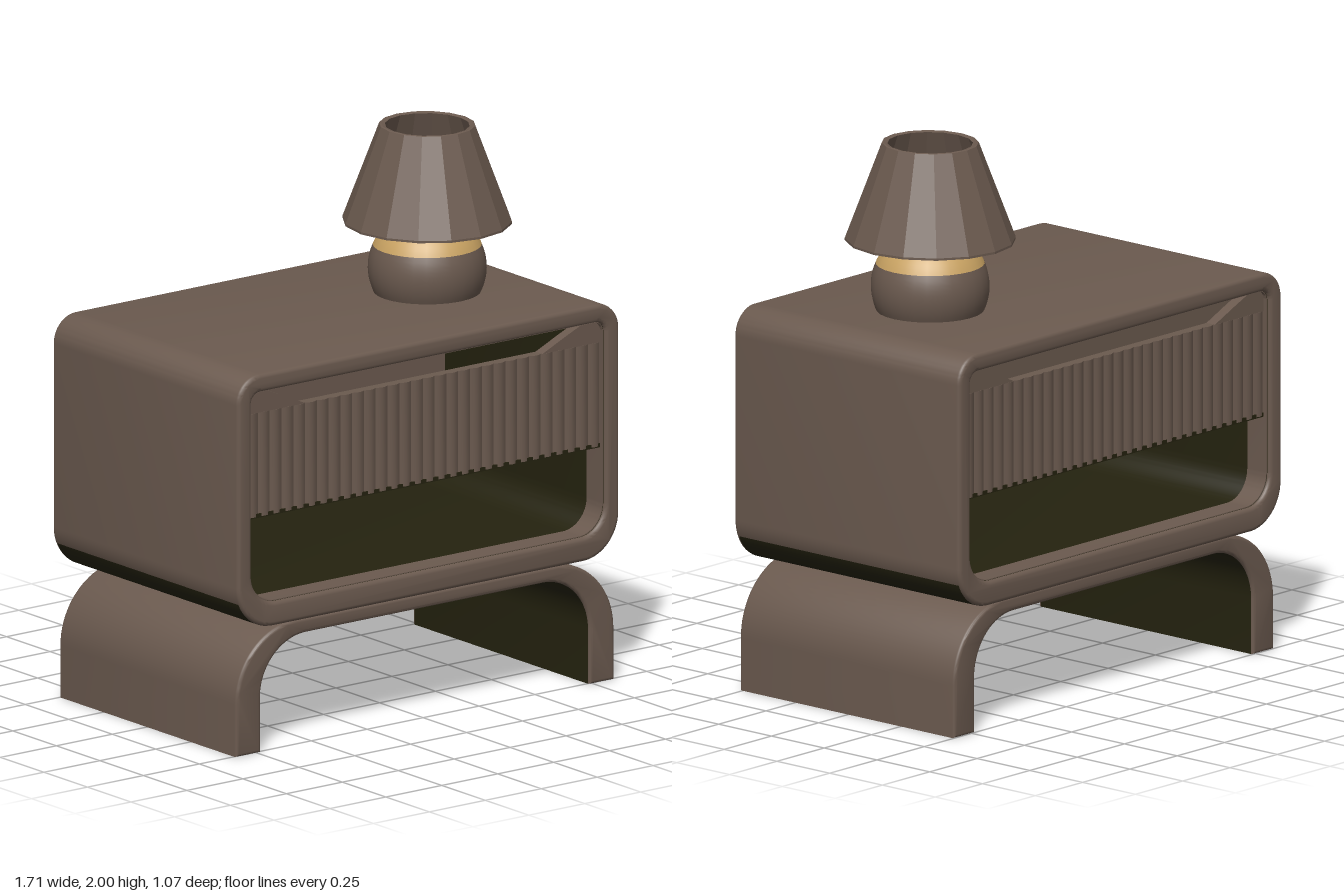
import * as THREE from 'three';
import { toCreasedNormals } from 'three/addons/utils/BufferGeometryUtils.js';

const colour = (name, hex, side = THREE.FrontSide) => {
  const m = new THREE.MeshStandardMaterial({ color: hex, side });
  m.name = name;
  return m;
};

// Extrude along z, centred, with softly bevelled rims
function slab(shape, depth, bevel) {
  const g = new THREE.ExtrudeGeometry(shape, {
    depth: depth - 2 * bevel, bevelEnabled: bevel > 0, bevelSize: bevel,
    bevelThickness: bevel, bevelOffset: -bevel, bevelSegments: 3, curveSegments: 10,
  });
  g.translate(0, 0, bevel - depth / 2);
  return toCreasedNormals(g, 0.7);
}

// Give each triangle a material index by a rule on its centre and normal
function splitFaces(geo, rule) {
  geo.clearGroups();
  const p = geo.attributes.position;
  const t = new THREE.Triangle(), c = new THREE.Vector3(), n = new THREE.Vector3();
  let start = 0, last = -1;
  for (let i = 0; i < p.count; i += 3) {
    t.setFromAttributeAndIndices(p, i, i + 1, i + 2);
    t.getMidpoint(c);
    t.getNormal(n);
    const k = rule(c, n) ? 1 : 0;
    if (k !== last && last >= 0) {
      geo.addGroup(start, i - start, last);
      start = i;
    }
    last = k;
  }
  geo.addGroup(start, p.count - start, last);
  return geo;
}

// Rectangle with separate bottom and top corner radii
function roundedRect(path, x, y0, y1, rb, rt) {
  const H = Math.PI / 2;
  path.moveTo(-x + rb, y0);
  path.lineTo(x - rb, y0);
  path.absarc(x - rb, y0 + rb, rb, -H, 0);
  path.lineTo(x, y1 - rt);
  path.absarc(x - rt, y1 - rt, rt, 0, H);
  path.lineTo(-x + rt, y1);
  path.absarc(-x + rt, y1 - rt, rt, H, 2 * H);
  path.lineTo(-x, y0 + rb);
  path.absarc(-x + rb, y0 + rb, rb, 2 * H, 3 * H);
  return path;
}

export function createModel() {
  const brown = colour('brown', 0x6b5a4f);
  const olive = colour('dark olive', 0x24220f);
  const tan = colour('tan', 0xc8a262);
  const model = new THREE.Group();
  const add = (name, geo, mat, parent = model) => {
    const m = new THREE.Mesh(geo, mat);
    m.name = name;
    parent.add(m);
    return m;
  };
  const box = (name, size, pos, mat, parent) =>
    add(name, new THREE.BoxGeometry(...size), mat, parent).position.set(...pos);

  // Cabinet shell: a rounded tube, dark inside and underneath
  const outer = roundedRect(new THREE.Shape(), 0.853, 0.46, 1.39, 0.16, 0.1);
  outer.holes.push(roundedRect(new THREE.Path(), 0.79, 0.548, 1.325, 0.11, 0.04));
  const shellGeo = splitFaces(slab(outer, 1.07, 0.015), (c, n) => {
    if (Math.abs(n.z) > 0.2) return false;
    const inward = n.x * c.x + n.y * (c.y - 0.93) < 0;
    return inward || n.y < -0.35;
  });
  add('cabinetShell', shellGeo, [brown, olive]);
  // Light lip just inside each opening
  for (const s of [-1, 1]) {
    const lip = roundedRect(new THREE.Shape(), 0.791, 0.547, 1.326, 0.11, 0.04);
    lip.holes.push(roundedRect(new THREE.Path(), 0.787, 0.551, 1.322, 0.107, 0.037));
    add('openingLip', slab(lip, 0.09, 0), brown).position.z = s * 0.473;
  }

  // Arched base with two curved legs, dark on its inner surface
  const arch = new THREE.Shape();
  arch.moveTo(0.845, 0);
  arch.lineTo(0.845, 0.19);
  arch.absarc(0.575, 0.19, 0.27, 0, Math.PI / 2);
  arch.lineTo(-0.575, 0.46);
  arch.absarc(-0.575, 0.19, 0.27, Math.PI / 2, Math.PI);
  arch.lineTo(-0.845, 0);
  arch.lineTo(-0.735, 0);
  arch.lineTo(-0.735, 0.2);
  arch.absarc(-0.53, 0.2, 0.205, Math.PI, Math.PI / 2, true);
  arch.lineTo(0.53, 0.405);
  arch.absarc(0.53, 0.2, 0.205, Math.PI / 2, 0, true);
  arch.lineTo(0.735, 0);
  const archGeo = splitFaces(slab(arch, 1.02, 0.012), (c, n) =>
    Math.abs(n.z) < 0.2 && c.y > 0.02 && (n.x * c.x < -0.01 || n.y < -0.3));
  add('archedBase', archGeo, [brown, olive]).position.z = 0.005;

  // Drawer: fluted panels front and back with a finger cutout along the top
  const drawer = new THREE.Group();
  drawer.name = 'drawer';
  model.add(drawer);
  const flutes = 30, half = 0.79;
  const plan = new THREE.Shape();
  plan.moveTo(-half, 0);
  for (let i = 0; i <= flutes * 4; i++) {
    const x = -half + (2 * half * i) / (flutes * 4);
    plan.lineTo(x, -0.034 - 0.009 * Math.abs(Math.sin((i / 4) * Math.PI)));
  }
  plan.lineTo(half, 0);
  const fluted = toCreasedNormals(
    new THREE.ExtrudeGeometry(plan, { depth: 0.38, bevelEnabled: false }).rotateX(-Math.PI / 2), 0.6);
  const ear = new THREE.Shape([[0.53, 0], [half, 0], [half, 0.075], [0.7, 0.075], [0.63, 0.045]]
    .map(([x, y]) => new THREE.Vector2(x, y)));
  const earMirror = new THREE.Shape(ear.getPoints().map(p => new THREE.Vector2(-p.x, p.y)));
  for (const s of [1, -1]) {
    const panel = new THREE.Group();
    panel.name = s > 0 ? 'drawerFront' : 'drawerBack';
    panel.rotation.y = s > 0 ? 0 : Math.PI;
    drawer.add(panel);
    add('flutedPanel', fluted, brown, panel).position.set(0, 0.862, 0.465);
    for (const shape of [ear, earMirror])
      add('cutoutEnd', slab(shape, 0.04, 0), brown, panel).position.set(0, 1.242, 0.485);
  }
  box('drawerBottom', [1.58, 0.015, 1.01], [0, 0.865, 0], olive, drawer);
  box('innerBackWall', [1.58, 0.45, 0.02], [0, 1.098, -0.4], brown, drawer);

  // Table lamp
  const lamp = new THREE.Group();
  lamp.name = 'lamp';
  lamp.position.set(0.4, 0, 0.01);
  model.add(lamp);
  const R = 0.21, cy = 1.477;
  const ball = (y0, y1) => {
    const pts = [];
    for (let i = 0; i <= 10; i++) {
      const y = y0 + ((y1 - y0) * i) / 10;
      pts.push(new THREE.Vector2(Math.sqrt(R * R - (y - cy) ** 2), y));
    }
    return new THREE.LatheGeometry(pts, 28);
  };
  add('lampBody', ball(1.385, 1.56), brown, lamp);
  add('lampBodyTop', ball(1.56, 1.67), tan, lamp);

  // Socket ring, rod and the arm that carries the shade
  const socket = [[0.1, 1.64], [0.1, 1.72], [0.045, 1.73], [0.04, 1.67], [0, 1.67]];
  add('socket', toCreasedNormals(
    new THREE.LatheGeometry(socket.map(p => new THREE.Vector2(...p)), 16), 0.6), brown, lamp);
  box('shadeArm', [0.1, 0.03, 0.035], [-0.115, 1.9, 0], brown, lamp);
  box('armUpright', [0.025, 0.2, 0.035], [-0.075, 1.81, 0], brown, lamp);

  // Faceted open shade with a thin wall
  const shade = [[0.275, 1.648], [0.296, 1.644], [0.296, 1.652], [0.168, 1.998],
    [0.162, 2.0], [0.148, 1.996], [0.275, 1.648]];
  const shadeGeo = toCreasedNormals(
    new THREE.LatheGeometry(shade.map(p => new THREE.Vector2(...p)), 16), 0.2);
  add('lampShade', shadeGeo, brown, lamp).scale.z = 1.04;

  return model;
}
